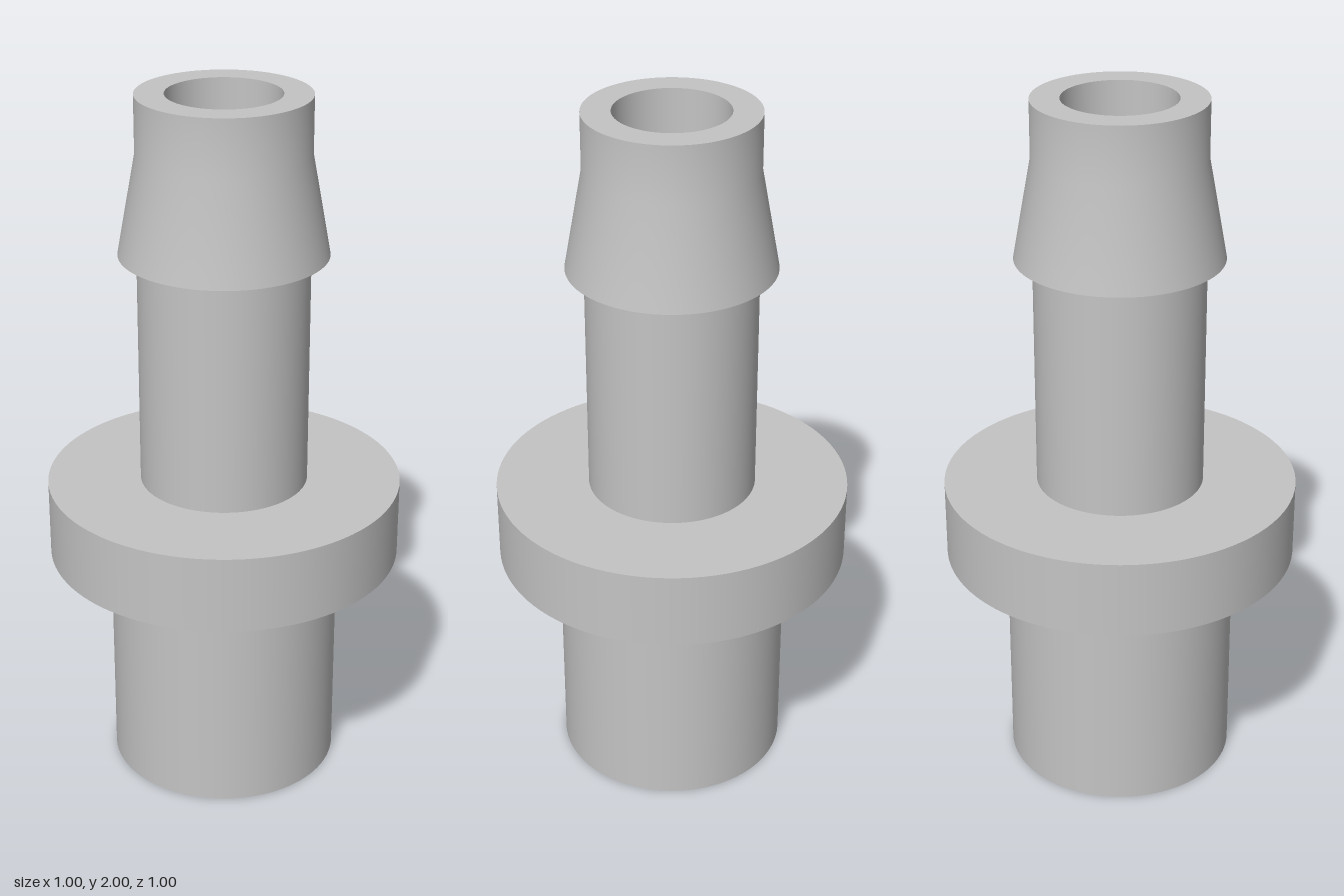
import * as THREE from 'three';

const BORE = 0.157, STEM = 0.237, BARB = 0.288, PLUG = 0.327, FLANGE = 0.5;

export function createModel() {
  const group = new THREE.Group();
  group.name = 'hoseFitting';
  const grey = new THREE.MeshStandardMaterial({ color: 0xc4c4c4 });
  grey.name = 'grey';

  // Each part is a set of revolved profiles; normals are smooth within a profile
  // and sharp between profiles. Profiles run with the solid on their left side.
  function addPart(name, ...profiles) {
    const part = new THREE.Group();
    part.name = name;
    for (const profile of profiles) {
      const points = profile.map(([r, y]) => new THREE.Vector2(r, y));
      const mesh = new THREE.Mesh(new THREE.LatheGeometry(points, 96), grey);
      mesh.name = name + 'Surface';
      part.add(mesh);
    }
    group.add(part);
  }

  // Wide plug at the bottom: end ring and wall
  addPart('plug', [[BORE, 0], [PLUG, 0]], [[PLUG, 0], [PLUG, 0.67]]);

  // Collar: underside, rim and top
  addPart('flange',
    [[PLUG, 0.67], [FLANGE, 0.67]],
    [[FLANGE, 0.67], [FLANGE, 0.89]],
    [[FLANGE, 0.89], [STEM, 0.89]]);

  // Narrow neck between collar and barb
  addPart('stem', [[STEM, 0.89], [STEM, 1.56]]);

  // Barb: underside ledge, taper blending into the straight tip, end ring
  addPart('barb',
    [[STEM, 1.56], [BARB, 1.56]],
    [[BARB, 1.56], [STEM, 1.84], [STEM, 2]],
    [[STEM, 2], [BORE, 2]]);

  // Through hole, facing inwards
  addPart('bore', [[BORE, 2], [BORE, 0]]);

  return group;
}
